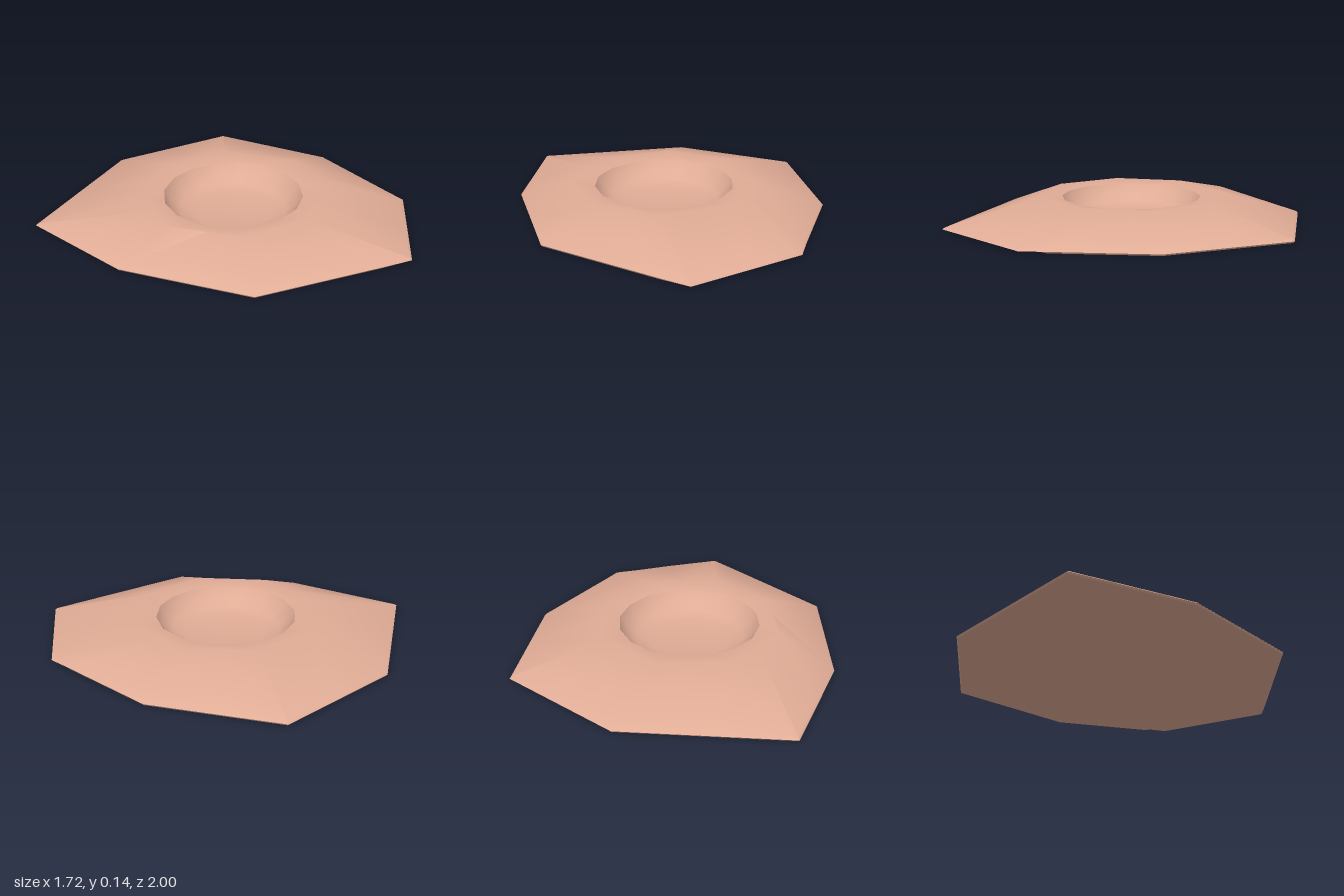
import * as THREE from 'three';
import { toCreasedNormals } from 'three/addons/utils/BufferGeometryUtils.js';

const N = 16, CX = -0.03, CZ = -0.04;

// Corners of the irregular outline as [x, z], from +x towards +z
const OUTLINE = [[0.86, -0.04], [0.69, 0.63], [0.15, 1], [-0.62, 0.58],
  [-0.86, -0.11], [-0.83, -0.78], [0.03, -1], [0.71, -0.74]];

// Each corner followed by the middle of its edge, giving 16 points
function withMidpoints(corners) {
  return corners.flatMap((p, i) => {
    const q = corners[(i + 1) % corners.length];
    return [p, [(p[0] + q[0]) / 2, (p[1] + q[1]) / 2]];
  });
}

function circle(r, sides, offset = 0) {
  return Array.from({ length: sides }, (_, i) => {
    const a = ((i + offset) / sides) * Math.PI * 2;
    return [CX + r * Math.cos(a), CZ + r * Math.sin(a)];
  });
}

const scaled = (ring, s) => ring.map(([x, z]) => [x * s, z * s]);
const atHeight = (ring, y) => ring.map(([x, z]) => new THREE.Vector3(x, y, z));

// Join successive rings into one skin; coincident points give no face
function skin(rings) {
  const pos = [];
  const tri = (a, b, c) => {
    const area = b.clone().sub(a).cross(c.clone().sub(a)).length();
    if (area > 1e-7) for (const v of [a, b, c]) pos.push(v.x, v.y, v.z);
  };
  for (let k = 0; k + 1 < rings.length; k++) {
    for (let j = 0; j < N; j++) {
      const n = (j + 1) % N, a = rings[k], b = rings[k + 1];
      tri(a[j], b[j], a[n]);
      tri(a[n], b[j], b[n]);
    }
  }
  const geo = new THREE.BufferGeometry();
  geo.setAttribute('position', new THREE.Float32BufferAttribute(pos, 3));
  return toCreasedNormals(geo, 0.6);
}

export function createModel() {
  const group = new THREE.Group();
  group.name = 'crater';
  const material = new THREE.MeshStandardMaterial({ color: 0xe0ac96 });

  const edge = withMidpoints(OUTLINE);
  edge[1] = [0.72, 0.5];
  edge[5] = [0, 0.92];

  // Underside outline, cut back beneath the front left corner
  const base = scaled(edge, 0.992);
  base[2] = [0.55, 0.635];
  base[3] = [0.38, 0.77];
  base[4] = [0.19, 0.845];

  // Upper edge, a little inside the outline
  const lip = scaled(edge, 0.988);
  lip[2] = [0.655, 0.625];

  const brow = withMidpoints(circle(0.51, 8));
  const bowlRing = (r, y) => atHeight(circle(r, N, 0.5), y);

  const mound = new THREE.Mesh(skin([
    atHeight(circle(0, N), 0), atHeight(base, 0),
    atHeight(edge, 0.009), atHeight(lip, 0.018),
    atHeight(brow, 0.14), bowlRing(0.388, 0.125),
  ]), material);
  mound.name = 'mound';

  // Round hollow with a soft floor
  const hollow = new THREE.Mesh(skin([
    bowlRing(0.388, 0.125), bowlRing(0.355, 0.075), bowlRing(0.3, 0.035),
    bowlRing(0.22, 0.02), bowlRing(0, 0.015),
  ]), material);
  hollow.name = 'hollow';

  group.add(mound, hollow);
  return group;
}
